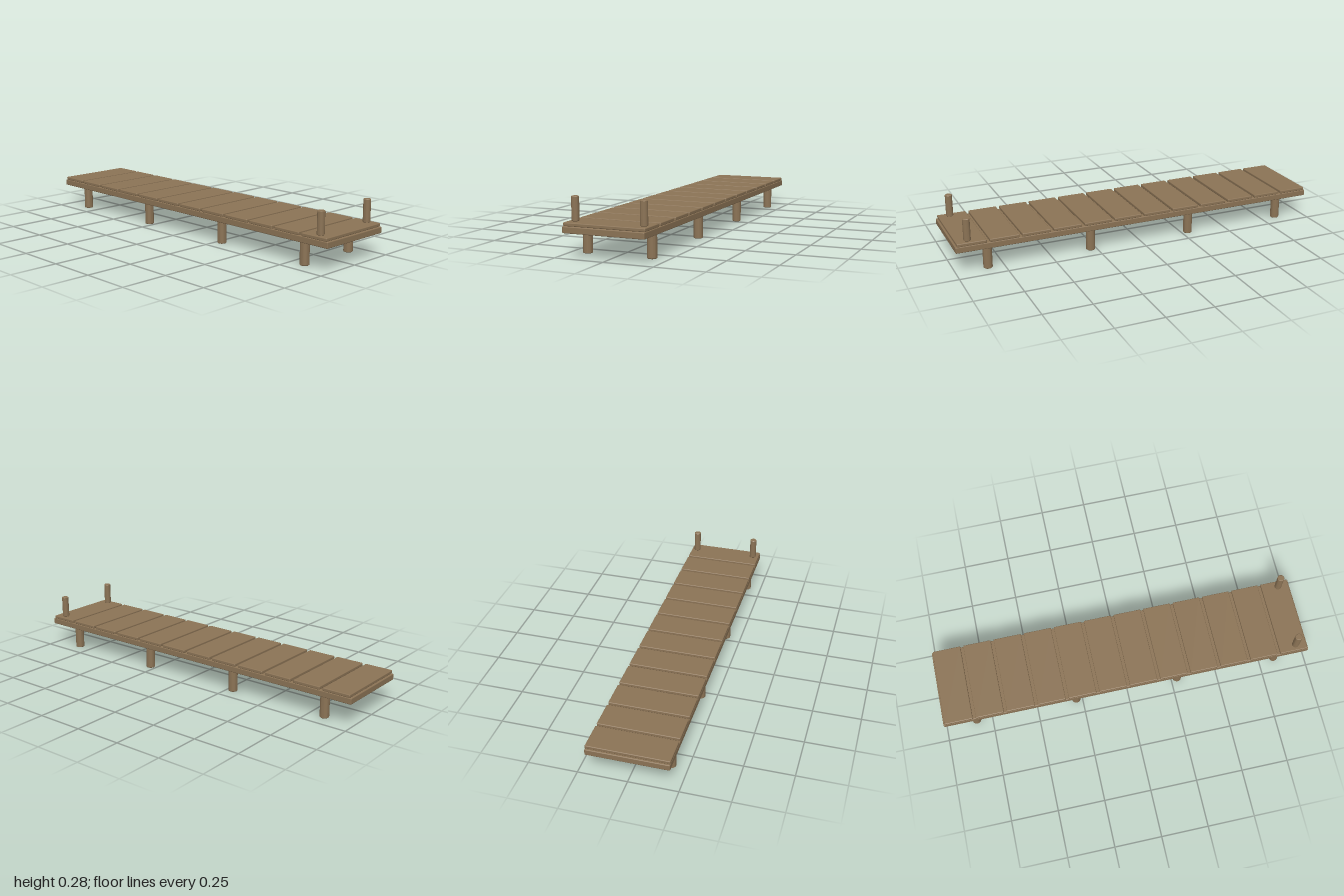
import * as THREE from 'three';
import { RoundedBoxGeometry } from 'three/addons/geometries/RoundedBoxGeometry.js';
import { toCreasedNormals } from 'three/addons/utils/BufferGeometryUtils.js';

const wood = new THREE.MeshStandardMaterial({ color: 0x8b7355 });

// Box with softened edges, placed by its bottom and top heights
function board(name, width, bottom, top, depth, x) {
  const geometry = new RoundedBoxGeometry(width, top - bottom, depth, 2, 0.004);
  const mesh = new THREE.Mesh(geometry, wood);
  mesh.name = name;
  mesh.position.set(x, (bottom + top) / 2, 0);
  return mesh;
}

// Round timber with a small chamfer at both ends
function roundTimber(name, radius, bottom, top, x, z) {
  const c = 0.003;
  const h = top - bottom;
  const profile = [
    [0, 0], [radius - c, 0], [radius, c], [radius, h - c], [radius - c, h], [0, h],
  ].map(([r, y]) => new THREE.Vector2(r, y));
  const geometry = toCreasedNormals(new THREE.LatheGeometry(profile, 20), 0.6);
  const mesh = new THREE.Mesh(geometry, wood);
  mesh.name = name;
  mesh.position.set(x, bottom, z);
  return mesh;
}

export function createModel() {
  const dock = new THREE.Group();
  dock.name = 'dock';

  // Solid deck base
  dock.add(board('deckBase', 2, 0.118, 0.15, 0.416, 0));

  // Cross planks with narrow gaps
  const planks = new THREE.Group();
  planks.name = 'planks';
  const count = 12;
  const pitch = 2 / count;
  for (let i = 0; i < count; i++) {
    planks.add(board('plank', 0.15, 0.15, 0.167, 0.416, -1 + (i + 0.5) * pitch));
  }
  dock.add(planks);

  // Piles under the deck and mooring posts at the left end
  for (const side of [1, -1]) {
    for (const x of [-0.835, -0.284, 0.282, 0.833]) {
      dock.add(roundTimber('pile', 0.0235, 0, 0.118, x, side * 0.167));
    }
    dock.add(roundTimber('mooringPost', 0.0185, 0.167, 0.284, 0.932, side * 0.175));
  }
  return dock;
}
